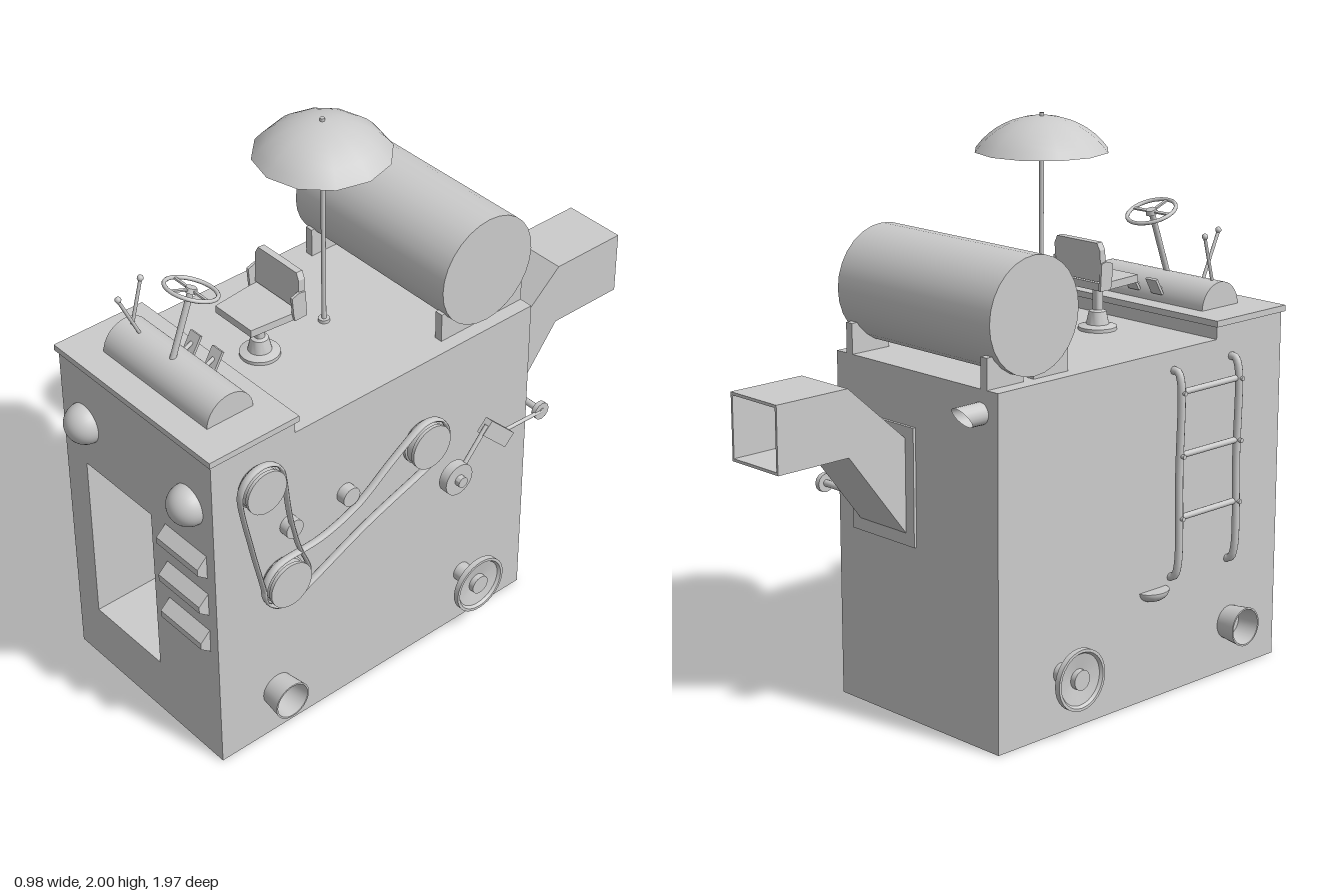
import * as THREE from 'three';
import { toCreasedNormals } from 'three/addons/utils/BufferGeometryUtils.js';

const material = new THREE.MeshStandardMaterial({ color: 0xcccccc });
const thin = new THREE.MeshStandardMaterial({ color: 0xcccccc, side: THREE.DoubleSide });
const V = (x, y, z) => new THREE.Vector3(x, y, z);
const rad = THREE.MathUtils.degToRad;

export function createModel() {
  const model = new THREE.Group();
  const add = (name, geo, x = 0, y = 0, z = 0, mat = material) => {
    const m = new THREE.Mesh(geo, mat);
    m.name = name;
    m.position.set(x, y, z);
    model.add(m);
    return m;
  };
  // Box given by its limits
  const box = (name, x0, x1, y0, y1, z0, z1) =>
    add(name, new THREE.BoxGeometry(x1 - x0, y1 - y0, z1 - z0), (x0 + x1) / 2, (y0 + y1) / 2, (z0 + z1) / 2);
  // Straight round bar between two points
  const rod = (name, a, b, r, r2 = r) => {
    const m = add(name, new THREE.CylinderGeometry(r2, r, a.distanceTo(b), 12));
    m.position.copy(a).add(b).multiplyScalar(0.5);
    m.quaternion.setFromUnitVectors(V(0, 1, 0), b.clone().sub(a).normalize());
    return m;
  };
  // Side outline of [z, y] points extruded from x0 to x1
  const side = (name, pts, x0, x1) => {
    const shape = new THREE.Shape(pts.map(p => new THREE.Vector2(...p)));
    const g = new THREE.ExtrudeGeometry(shape, { depth: x1 - x0, bevelEnabled: false });
    return add(name, g.rotateY(-Math.PI / 2).translate(x1, 0, 0));
  };
  // Turned part with its axis pointing out of a side wall; s = 1 left, -1 right
  const turned = (name, pts, s, y, z, segs = 32, mat = material) => {
    const g = new THREE.LatheGeometry(pts.map(p => new THREE.Vector2(...p)), segs);
    g.rotateZ(-s * Math.PI / 2);
    return add(name, toCreasedNormals(g, 0.6), s * 0.39, y, z, mat);
  };

  // Housing with a deep front opening
  const wall = new THREE.Shape([[-0.39, 0], [0.39, 0], [0.39, 1.22], [-0.39, 1.22]].map(p => new THREE.Vector2(...p)));
  wall.holes.push(new THREE.Path([[-0.28, 0.215], [-0.28, 0.865], [0.065, 0.865], [0.065, 0.215]].map(p => new THREE.Vector2(...p))));
  add('frontHousing', new THREE.ExtrudeGeometry(wall, { depth: 0.6, bevelEnabled: false }), 0, 0, 0.31);
  box('rearHousing', -0.39, 0.39, 0, 1.22, -0.45, 0.31);
  box('raisedDeck', -0.39, 0.39, 1.22, 1.27, 0.575, 0.91);
  box('deckLid', -0.4, 0.4, 1.265, 1.287, 0.565, 0.92);

  // Lamps and louvers on the front
  for (const s of [-1, 1]) {
    const lamp = new THREE.SphereGeometry(0.072, 32, 12, 0, Math.PI * 2, 0, Math.PI / 2).rotateX(Math.PI / 2);
    add('frontLamp', lamp, s * 0.27, 1.04, 0.91);
  }
  for (const y of [0.83, 0.672, 0.515])
    side('louver', [[0.905, y + 0.05], [0.905, y - 0.05], [0.948, y - 0.015], [0.948, y + 0.01]], 0.14, 0.35);

  // Rear drum on split saddles
  add('drum', new THREE.CylinderGeometry(0.197, 0.197, 0.73, 28).rotateZ(Math.PI / 2), 0, 1.435, -0.265);
  for (const x of [-0.325, 0.325]) {
    box('drumSupport', x - 0.015, x + 0.015, 1.22, 1.325, -0.45, -0.29);
    box('drumSupport', x - 0.015, x + 0.015, 1.22, 1.325, -0.245, -0.09);
  }

  // Hollow discharge chute and its mounting plate
  const top = [[-0.45, 0.98], [-0.7, 1.2], [-0.99, 1.2]];
  const bottom = [[-0.45, 0.65], [-0.7, 0.97], [-0.99, 0.97]];
  for (const x of [0.04, 0.262]) side('chuteSide', [...top, ...[...bottom].reverse()], x, x + 0.008);
  const lower = p => [p[0], p[1] - 0.01], raise = p => [p[0], p[1] + 0.01];
  side('chuteTop', [...top, ...top.map(lower).reverse()], 0.042, 0.268);
  side('chuteBottom', [...bottom, ...bottom.map(raise).reverse()], 0.042, 0.268);
  box('chutePlate', 0, 0.31, 0.62, 1.03, -0.46, -0.445);

  // Exhaust pipe with a slanted end
  const pipe = new THREE.CylinderGeometry(0.037, 0.037, 0.1, 20, 1, true).rotateX(Math.PI / 2);
  const pp = pipe.attributes.position;
  for (let i = 0; i < pp.count; i++) if (pp.getZ(i) < 0) pp.setZ(i, -0.08 - pp.getY(i) * 0.8);
  add('exhaustPipe', pipe, -0.31, 1.14, -0.45, thin);

  // Flanged wheels and open ports on both sides
  for (const s of [-1, 1]) {
    turned('flangedWheel', [[0.035, 0], [0.035, 0.06], [0.09, 0.078], [0.107, 0.08], [0.107, 0.1],
      [0.097, 0.1], [0.09, 0.09], [0.035, 0.08], [0.035, 0.1], [0, 0.1]], s, 0.213, -0.165);
    turned('sidePort', [[0.06, 0], [0.07, 0.08], [0.064, 0.08], [0.055, 0]], s, 0.18, 0.67, 32, thin);
  }

  // Pulleys and idlers
  const A = [0.74, 1.105], B = [0.65, 0.67], C = [0.045, 0.915];
  for (const [[z, y], r] of [[A, 0.078], [B, 0.084], [C, 0.082]])
    turned('pulley', [[r * 0.85, 0], [r * 0.85, 0.008], [r, 0.01], [r, 0.02], [r * 0.93, 0.024], [r * 0.93, 0.046],
      [r, 0.05], [r, 0.062], [0, 0.062]], 1, y, z);
  for (const z of [0.61, 0.37]) turned('idler', [[0.035, 0], [0.035, 0.035], [0, 0.035]], 1, 0.866, z);
  turned('crankDisc', [[0.025, 0], [0.025, 0.02], [0.06, 0.02], [0.06, 0.055], [0.02, 0.055], [0.02, 0.075], [0, 0.075]], 1, 0.7, -0.09);

  // Belts: arcs round the pulleys joined by slack runs
  const arc = (c, r, from, to) => Array.from({ length: 9 }, (_, i) => {
    const t = rad(from + (to - from) * i / 8);
    return [c[0] + r * Math.cos(t), c[1] + r * Math.sin(t)];
  });
  const belt = (pts, x) => {
    const curve = new THREE.CatmullRomCurve3(pts.map(([z, y]) => V(0, y, z)), true, 'centripetal');
    add('belt', new THREE.TubeGeometry(curve, 160, 0.006, 8, true), x).scale.x = 2.5;
  };
  belt([...arc(A, 0.088, 0, 180), [0.63, 0.93], [0.597, 0.79], ...arc(B, 0.093, 170, 365), [0.787, 0.88]], 0.425);
  belt([...arc(C, 0.092, 70, 248), [0.31, 0.72], ...arc(B, 0.093, 248, 440),
    [0.5, 0.772], [0.35, 0.822], [0.2, 0.925]], 0.425);

  // Crank linkage ending at the chute shaft
  rod('linkRod', V(0.43, 0.7, -0.09), V(0.43, 0.855, -0.225), 0.008);
  add('linkBlock', new THREE.BoxGeometry(0.03, 0.058, 0.15), 0.425, 0.797, -0.273).rotation.x = -rad(45);
  rod('linkRod', V(0.415, 0.772, -0.325), V(0.415, 0.765, -0.5), 0.007);
  rod('chuteShaft', V(0.26, 0.765, -0.5), V(0.42, 0.765, -0.5), 0.012);
  rod('shaftKnob', V(0.4, 0.765, -0.5), V(0.418, 0.765, -0.5), 0.033);

  // Ladder on the right wall
  for (const z of [0.36, 0.65]) {
    const path = new THREE.CatmullRomCurve3([V(-0.385, 1.15, z), V(-0.41, 1.15, z), V(-0.425, 1.12, z), V(-0.425, 0.8, z),
      V(-0.425, 0.47, z), V(-0.41, 0.43, z), V(-0.385, 0.42, z)]);
    add('ladderRail', new THREE.TubeGeometry(path, 60, 0.014, 10));
    for (const y of [1.08, 0.86, 0.64]) rod('rungBolt', V(-0.42, y, z), V(-0.45, y, z), 0.008);
  }
  for (const y of [1.08, 0.86, 0.64]) rod('ladderRung', V(-0.425, y, 0.36), V(-0.425, y, 0.65), 0.011);
  const step = new THREE.SphereGeometry(1, 24, 8, 0, Math.PI * 2, Math.PI / 2, Math.PI / 2);
  add('footStep', step, -0.39, 0.395, 0.275).scale.set(0.05, 0.04, 0.065);
  const stepTop = add('footStepTop', new THREE.CircleGeometry(1, 24).rotateX(-Math.PI / 2), -0.39, 0.395, 0.275);
  stepTop.scale.set(0.05, 1, 0.065);

  // Control console, levers and pedals
  const hood = new THREE.CylinderGeometry(0.092, 0.092, 0.53, 32).rotateZ(Math.PI / 2);
  add('console', hood, 0, 1.285, 0.73);
  for (const [x, z] of [[-0.225, 0.69], [-0.175, 0.815]]) {
    rod('lever', V(x, 1.36, 0.735), V(x, 1.53, z), 0.006);
    add('leverKnob', new THREE.SphereGeometry(0.011, 12, 8), x, 1.535, z);
  }
  for (const x of [-0.055, 0.055]) {
    rod('pedalArm', V(x, 1.32, 0.68), V(x, 1.345, 0.625), 0.007);
    add('pedal', new THREE.BoxGeometry(0.05, 0.065, 0.01), x, 1.345, 0.622).rotation.x = -rad(30);
  }

  // Steering wheel and column
  const hub = V(0, 1.597, 0.66), axis = V(0, 0.937, -0.35).normalize();
  rod('steeringColumn', V(0, 1.36, 0.748), hub, 0.011);
  const wheel = new THREE.Group();
  wheel.name = 'steeringWheel';
  wheel.position.copy(hub);
  wheel.quaternion.setFromUnitVectors(V(0, 1, 0), axis);
  wheel.add(new THREE.Mesh(new THREE.TorusGeometry(0.087, 0.007, 10, 40).rotateX(Math.PI / 2), material));
  wheel.add(new THREE.Mesh(new THREE.CylinderGeometry(0.018, 0.022, 0.016, 16), material));
  for (let i = 0; i < 3; i++) {
    const spoke = new THREE.BoxGeometry(0.085, 0.006, 0.012).translate(0.0425, 0, 0);
    wheel.add(new THREE.Mesh(spoke.rotateY(rad(90 * (i - 2))), material));
  }
  for (const part of wheel.children) part.name = 'steeringWheelPart';
  model.add(wheel);

  // Seat on a stepped pedestal
  const foot = [[0.068, 0], [0.068, 0.012], [0.04, 0.02], [0.03, 0.065], [0.018, 0.07], [0.018, 0.165]];
  add('seatPedestal', toCreasedNormals(new THREE.LatheGeometry(foot.map(p => new THREE.Vector2(...p)), 24), 0.6), 0, 1.22, 0.395);
  const cushion = new THREE.Shape([[-0.11, -0.3], [-0.09, -0.5], [0.09, -0.5], [0.11, -0.3]].map(p => new THREE.Vector2(...p)));
  add('seatCushion', new THREE.ExtrudeGeometry(cushion, { depth: 0.027, bevelEnabled: false }).rotateX(-Math.PI / 2), 0, 1.383, 0);
  const back = new THREE.Shape([[-0.11, 0], [0.11, 0], [0.108, 0.11], [0.095, 0.135], [-0.095, 0.135], [-0.108, 0.11]].map(p => new THREE.Vector2(...p)));
  add('seatBack', new THREE.ExtrudeGeometry(back, { depth: 0.025, bevelEnabled: false }), 0, 1.415, 0.298).rotation.x = -rad(3);
  for (const x of [-0.115, 0.105])
    side('seatBracket', [[0.29, 1.385], [0.34, 1.385], [0.345, 1.41], [0.35, 1.475], [0.32, 1.485], [0.295, 1.48]], x, x + 0.01);

  // Parasol
  rod('parasolPole', V(0, 1.22, 0.122), V(0, 2, 0.122), 0.008);
  rod('parasolFoot', V(0, 1.22, 0.122), V(0, 1.232, 0.122), 0.02);
  const R = 0.2835, cap = [];
  for (let i = 8; i >= 0; i--) {
    const t = Math.asin(0.228 / R) * i / 8;
    cap.push(new THREE.Vector2(R * Math.sin(t), R * (Math.cos(t) - 1)));
  }
  add('parasolCanopy', new THREE.LatheGeometry(cap, 12), 0, 1.99, 0.122, thin);
  return model;
}
